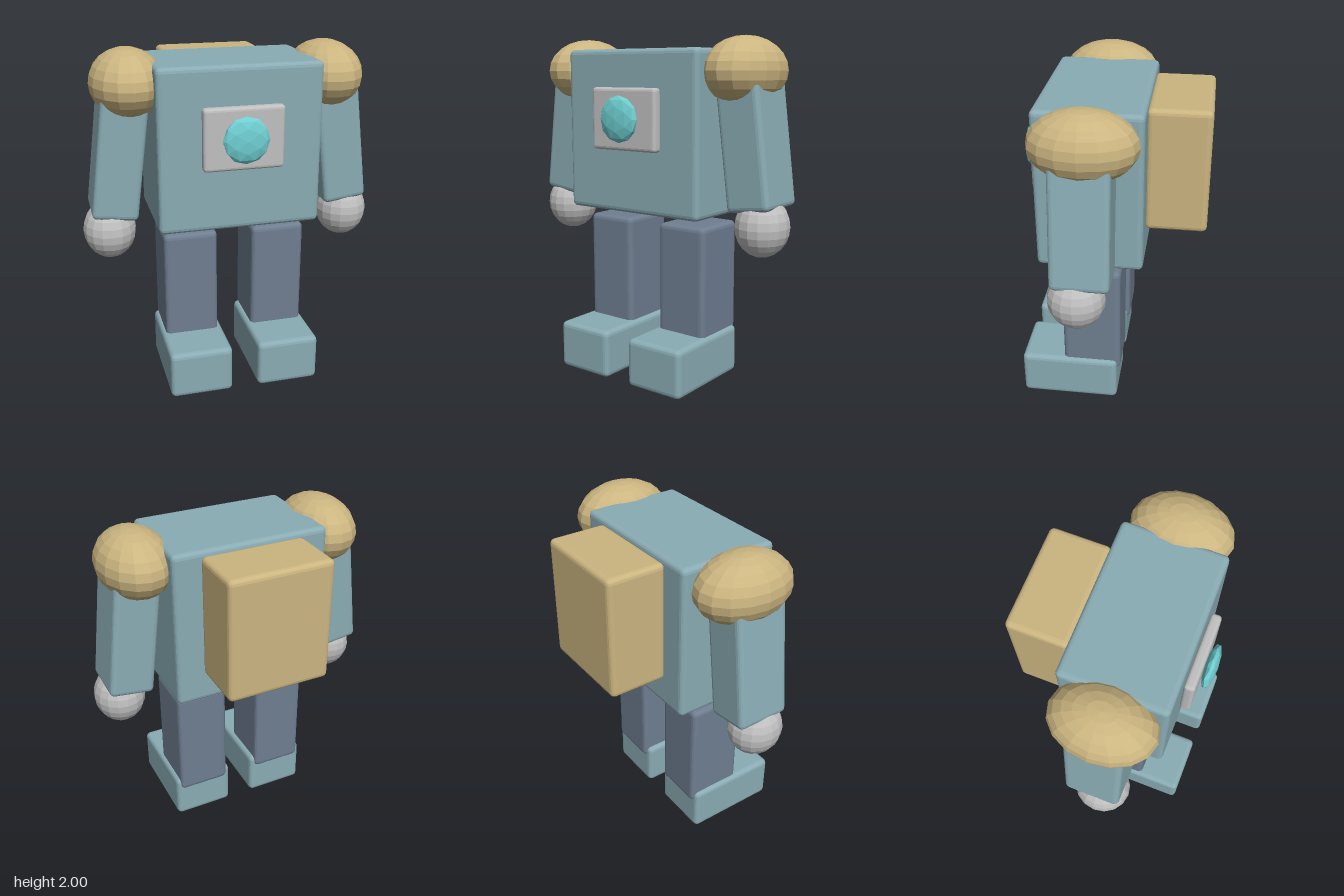
import * as THREE from 'three';
import { RoundedBoxGeometry } from 'three/addons/geometries/RoundedBoxGeometry.js';

export function createModel() {
  const model = new THREE.Group();
  model.name = 'robot';

  const material = (name, color) => {
    const m = new THREE.MeshStandardMaterial({ color, flatShading: true });
    m.name = name;
    return m;
  };
  const teal = material('teal armour', 0x8aacb4);
  const tan = material('tan', 0xcbb580);
  const slate = material('slate', 0x6f7e90);
  const grey = material('light grey', 0xc0c0c0);
  const cyan = material('cyan gem', 0x6fd0d3);

  const add = (name, geometry, mat, [x, y, z]) => {
    const mesh = new THREE.Mesh(geometry, mat);
    mesh.name = name;
    mesh.position.set(x, y, z);
    model.add(mesh);
    return mesh;
  };
  // box with softly bevelled edges
  const box = (name, [w, h, d], mat, pos, bevel = 0.03) =>
    add(name, new RoundedBoxGeometry(w, h, d, 2, bevel), mat, pos);
  // faceted ellipsoid given by its radii
  const ellipsoid = (name, [rx, ry, rz], mat, pos) =>
    add(name, new THREE.SphereGeometry(1, 16, 12).scale(rx, ry, rz), mat, pos);

  // body and backpack
  box('torso', [0.94, 0.94, 0.61], teal, [0, 1.46, 0.105]);
  box('backpack', [0.62, 0.73, 0.355], tan, [0, 1.54, -0.37]);

  // chest plate with a flattened gem in front of it
  box('chestPlate', [0.46, 0.355, 0.062], grey, [0, 1.537, 0.441], 0.02);
  add('chestGem', new THREE.IcosahedronGeometry(1, 1).scale(0.133, 0.133, 0.038), cyan, [0, 1.54, 0.505]);

  // limbs, mirrored
  for (const [side, s] of [['left', 1], ['right', -1]]) {
    ellipsoid(side + 'Shoulder', [0.213, 0.193, 0.297], tan, [s * 0.582, 1.807, 0.105]);
    const arm = box(side + 'Arm', [0.265, 0.73, 0.328], teal, [s * 0.653, 1.41, 0.106]);
    arm.rotation.z = s * 0.125;
    ellipsoid(side + 'Hand', [0.153, 0.173, 0.163], grey, [s * 0.722, 0.958, 0.137]);
    box(side + 'Leg', [0.32, 0.71, 0.352], slate, [s * 0.267, 0.575, 0.108]);
    box(side + 'Foot', [0.372, 0.285, 0.594], teal, [s * 0.265, 0.1435, 0.249]);
  }

  return model;
}
